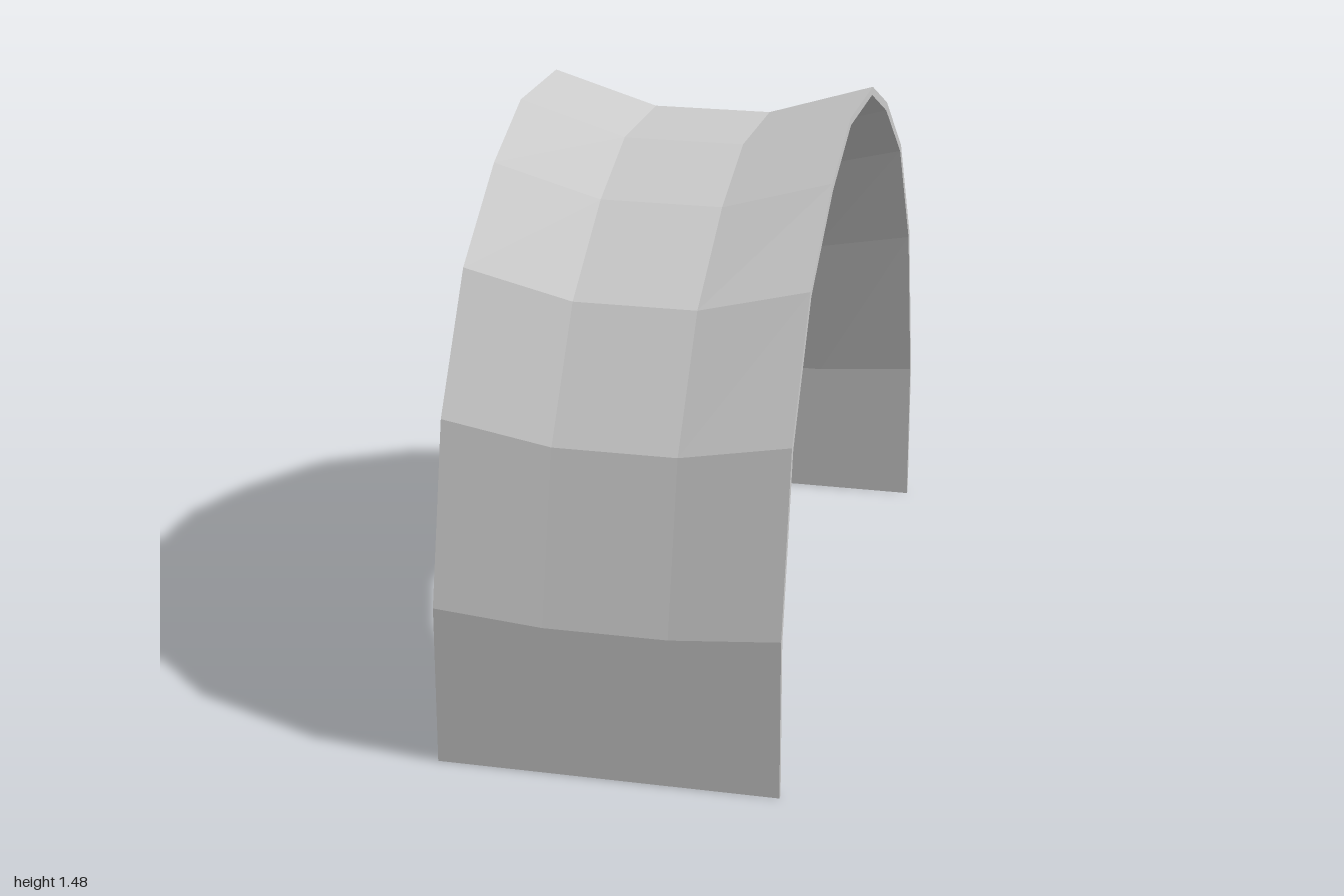
import * as THREE from 'three';

// Half profiles [z, y] at the raised rims, from the front foot to the crown
const OUTER = [[1, 0], [1, 0.413], [0.893, 0.864], [0.685, 1.182], [0.412, 1.373], [0.168, 1.475]];
const INNER = [[0.985, 0], [0.985, 0.405], [0.877, 0.853], [0.671, 1.168], [0.402, 1.353], [0.16, 1.455]];

// Cross-sections across the width: [x, height scale]; the middle sags
const SECTIONS = [[-0.43, 1], [-0.155, 0.943], [0.155, 0.943], [0.43, 1]];

// Mirror a half profile front to back
const fullArch = (half) => [...half, ...half.map(([z, y]) => [-z, y]).reverse()];

function archGeometry() {
  const outer = fullArch(OUTER);
  const inner = fullArch(INNER);
  const loop = [...outer, ...inner.slice().reverse()];
  const n = outer.length;
  const m = loop.length;
  const positions = [];
  const point = (s, i) => {
    const [x, scale] = SECTIONS[s];
    const [z, y] = loop[i % m];
    return [x, y * scale, z];
  };
  const quad = (a, b, c, d) => positions.push(...a, ...b, ...c, ...a, ...c, ...d);

  // Outer skin, inner skin and foot edges
  for (let s = 0; s < SECTIONS.length - 1; s++) {
    for (let i = 0; i < m; i++) {
      quad(point(s, i), point(s + 1, i), point(s + 1, i + 1), point(s, i + 1));
    }
  }

  // Thin rims closing both sides
  const last = SECTIONS.length - 1;
  for (let i = 0; i < n - 1; i++) {
    const j = m - 1 - i;
    quad(point(0, i), point(0, i + 1), point(0, j - 1), point(0, j));
    quad(point(last, j), point(last, j - 1), point(last, i + 1), point(last, i));
  }

  const geometry = new THREE.BufferGeometry();
  geometry.setAttribute('position', new THREE.Float32BufferAttribute(positions, 3));
  geometry.computeVertexNormals();
  return geometry;
}

export function createModel() {
  const group = new THREE.Group();
  group.name = 'archedShelter';
  const material = new THREE.MeshStandardMaterial({ color: 0xcccccc, flatShading: true });
  const shell = new THREE.Mesh(archGeometry(), material);
  shell.name = 'archShell';
  group.add(shell);
  return group;
}
